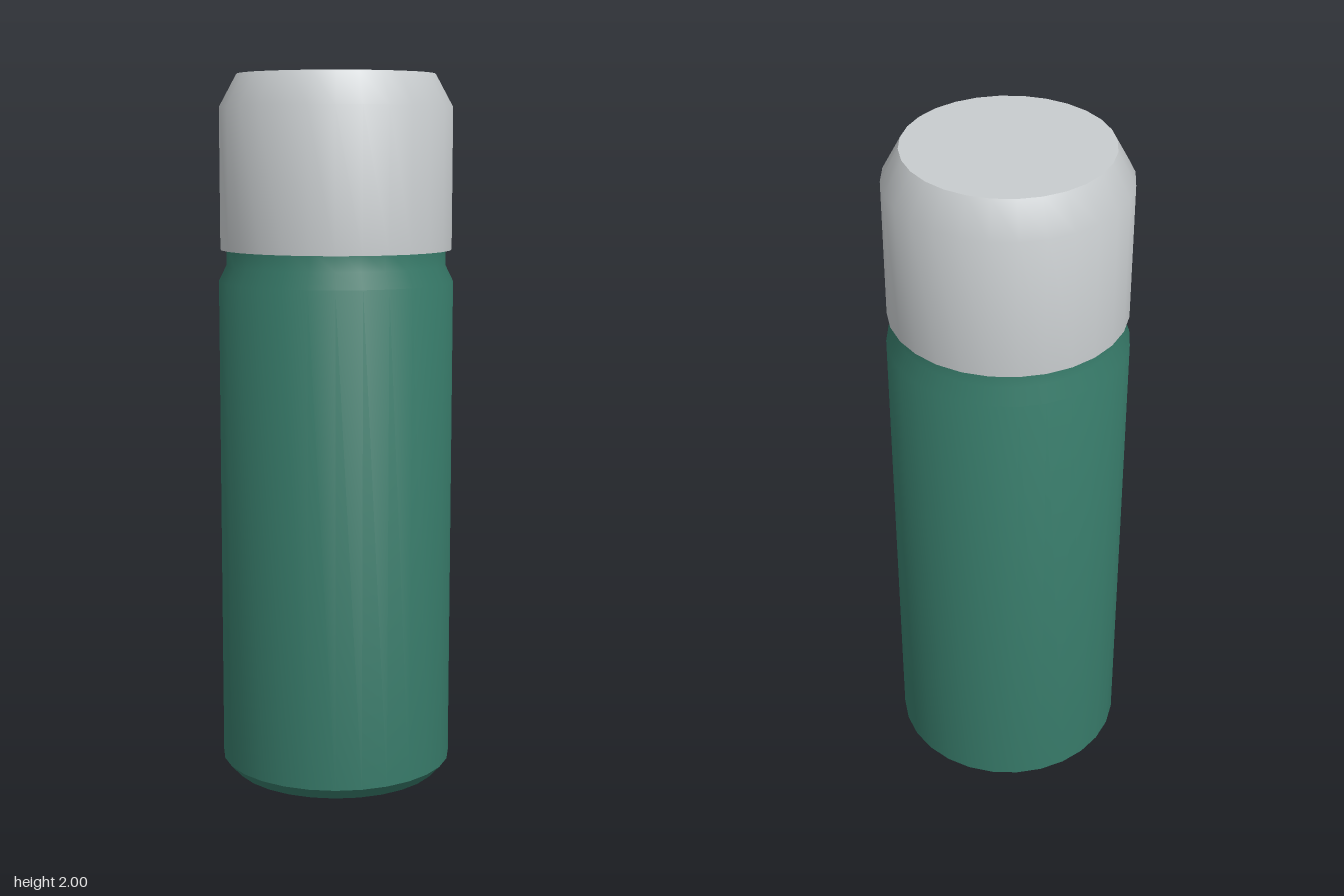
import * as THREE from 'three';
import { toCreasedNormals } from 'three/addons/utils/BufferGeometryUtils.js';

const SIDES = 28;
const green = new THREE.MeshStandardMaterial({ name: 'green body', color: 0x377a69 });
const grey = new THREE.MeshStandardMaterial({ name: 'light grey cap', color: 0xc8ccce });

// Turned part from [radius, height] pairs, bottom to top; shoulders stay smooth, rims sharp
function turned(name, profile, material) {
  const points = profile.map(([r, y]) => new THREE.Vector2(r, y));
  const geometry = toCreasedNormals(new THREE.LatheGeometry(points, SIDES), 0.61);
  const mesh = new THREE.Mesh(geometry, material);
  mesh.name = name;
  return mesh;
}

export function createModel() {
  const model = new THREE.Group();
  model.name = 'flask';

  // Body with chamfered foot, sloped shoulder and narrower neck
  model.add(turned('body', [
    [0, 0], [0.3, 0], [0.332, 0.035], [0.332, 1.425], [0.31, 1.47], [0.31, 1.53], [0, 1.53],
  ], green));

  // Cap overhanging the neck, with a sloped top edge
  model.add(turned('cap', [
    [0, 1.515], [0.327, 1.515], [0.327, 1.91], [0.278, 2], [0, 2],
  ], grey));

  return model;
}
